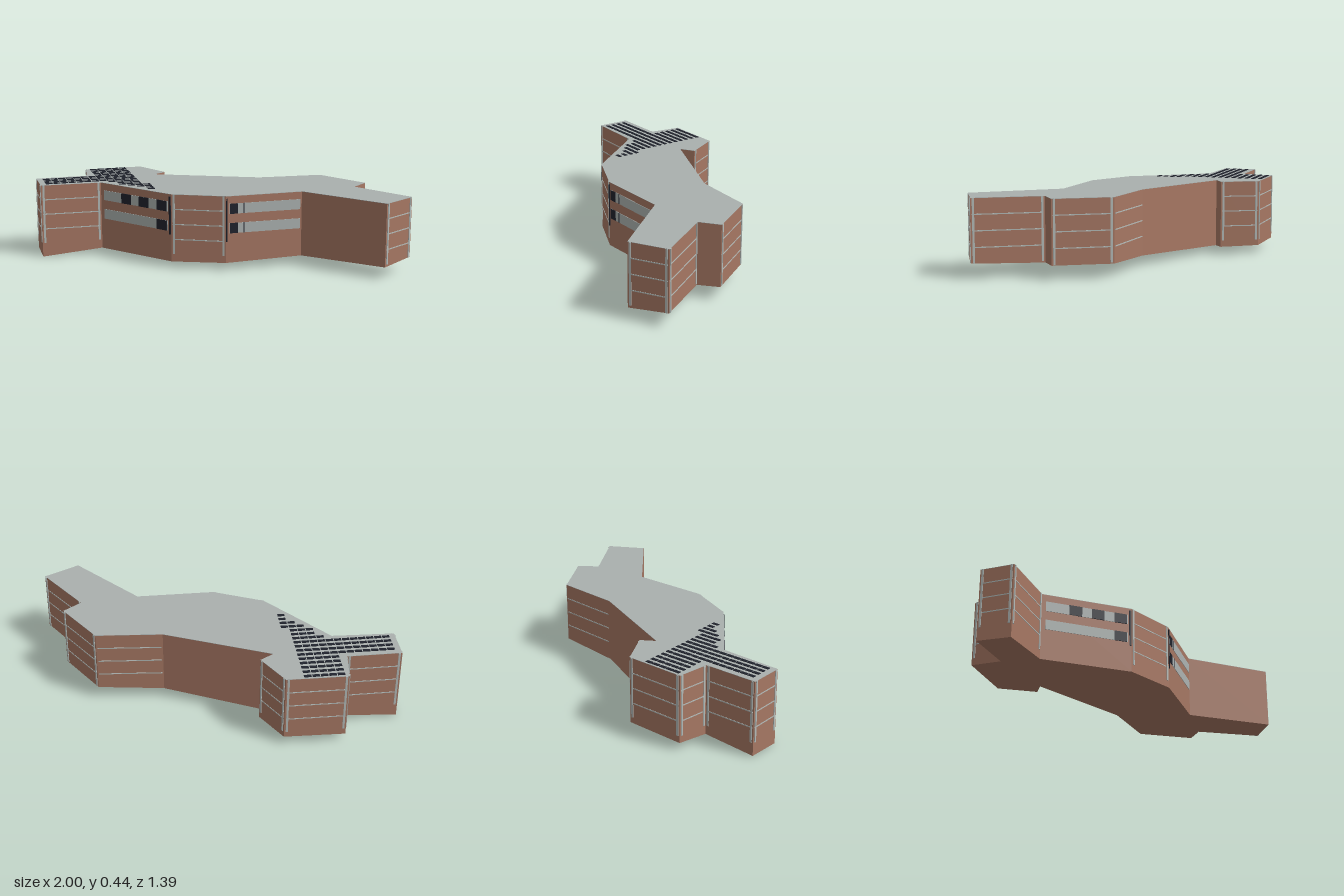
import * as THREE from 'three';

const TOP = 0.44;
// Footprint corners: x, z and the height of the wall foot on sloping ground
const P = [
  [-1, -0.505, 0.008], [-0.685, -0.505, 0.03], [-0.66, -0.695, 0.045], [-0.31, -0.69, 0.05],
  [-0.2, -0.485, 0.045], [-0.28, -0.435, 0.04], [0.32, -0.165, 0.06], [0.705, -0.135, 0.078],
  [0.885, 0.155, 0.08], [0.78, 0.235, 0.075], [0.995, 0.575, 0.085], [0.79, 0.69, 0.07],
  [0.44, 0.27, 0.053], [-0.02, 0.27, 0.043], [-0.31, 0.135, 0.038], [-0.64, -0.29, 0.033],
  [-1, -0.305, 0],
];

const material = (name, color) => {
  const m = new THREE.MeshStandardMaterial({ color });
  m.name = name;
  return m;
};

export function createModel() {
  const brick = material('brick', 0xa67763);
  const roofGrey = material('roof grey', 0xaab0ae);
  const trim = material('pale trim', 0xb4bbb8);
  const glass = material('pale glazing', 0xadb3b1);
  const dark = material('dark panel', 0x20232d);

  const model = new THREE.Group();
  model.name = 'building';
  const add = (geometry, mat, name, parent = model) => {
    const mesh = new THREE.Mesh(geometry, mat);
    mesh.name = name;
    parent.add(mesh);
    return mesh;
  };
  const group = (name) => {
    const g = new THREE.Group();
    g.name = name;
    model.add(g);
    return g;
  };

  // Footprint extruded upwards
  const footprint = new THREE.Shape(P.map(([x, z]) => new THREE.Vector2(x, -z)));
  const slab = (y0, y1) => new THREE.ExtrudeGeometry(footprint, { depth: y1 - y0, bevelEnabled: false })
    .rotateX(-Math.PI / 2).translate(0, y0, 0);

  // Brick body, with its foot following the ground
  const body = slab(0, TOP - 0.002);
  const pos = body.attributes.position;
  for (let i = 0; i < pos.count; i++) {
    if (pos.getY(i) > 0.1) continue;
    const corner = P.find(([x, z]) => Math.hypot(x - pos.getX(i), z - pos.getZ(i)) < 0.002);
    if (corner) pos.setY(i, corner[2]);
  }
  body.computeVertexNormals();
  add(body, brick, 'brickWalls');
  add(slab(TOP - 0.002, TOP), roofGrey, 'flatRoof');

  // Thin plate on wall i (corner i to i + 1); s0 and s1 are distances along it
  const wallLength = (i) => {
    const a = P[i], b = P[(i + 1) % P.length];
    return Math.hypot(b[0] - a[0], b[1] - a[1]);
  };
  const plate = (i, s0, s1, y0, y1, out, mat, name, parent) => {
    const a = P[i], b = P[(i + 1) % P.length], len = wallLength(i);
    const dx = (b[0] - a[0]) / len, dz = (b[1] - a[1]) / len;
    const s = (s0 + s1) / 2;
    const mesh = add(new THREE.BoxGeometry(s1 - s0, y1 - y0, out), mat, name, parent);
    mesh.position.set(a[0] + dx * s + dz * out / 2, (y0 + y1) / 2, a[1] + dz * s - dx * out / 2);
    mesh.rotation.y = Math.atan2(-dz, dx);
  };

  // Floor bands and upright corner strips
  const bands = group('wallTrim');
  for (const i of [0, 1, 2, 3, 6, 7, 9, 10, 13, 15, 16]) {
    const len = wallLength(i);
    for (const y of [0.172, 0.262, 0.351])
      plate(i, 0.008, len - 0.008, y - 0.003, y + 0.003, 0.002, trim, 'floorBand', bands);
    if (i === 6) continue;
    for (const s of [0.015, len - 0.015])
      plate(i, s - 0.006, s + 0.006, 0.085, TOP - 0.001, 0.004, trim, 'cornerStrip', bands);
  }

  // Window ribbons: spans are given by x and run along the wall
  const windows = group('windows');
  const spanX = (i, x0, x1, y0, y1, out, mat, name) => {
    const a = P[i], b = P[i + 1];
    const scale = wallLength(i) / (b[0] - a[0]);
    plate(i, (x1 - a[0]) * scale, (x0 - a[0]) * scale, y0, y1, out, mat, name, windows);
  };
  const floors = [[0.335, 0.395], [0.22, 0.28]];
  floors.forEach(([y0, y1], f) => {
    spanX(12, 0, 0.43, y0, y1, 0.003, glass, 'frontRibbon');
    spanX(12, 0.002, 0.05, y0, y1, 0.005, dark, 'frontPane');
    spanX(12, 0.083, 0.089, y0, y1, 0.005, dark, 'frontMullion');
    spanX(14, -0.625, -0.325, y0, y1, 0.003, glass, 'sideRibbon');
    for (const x of f ? [-0.375] : [-0.54, -0.458, -0.375])
      spanX(14, x, x + 0.046, y0, y1, 0.005, dark, 'sidePane');
  });
  spanX(12, -0.019, -0.012, 0.17, 0.425, 0.005, dark, 'frontDownpipe');
  spanX(14, -0.319, -0.312, 0.2, 0.425, 0.005, dark, 'sideDownpipe');

  // Rows of roof panels: first and last column in each row, from back to front
  const panels = group('solarPanels');
  const rows = [
    [7, 11], [7, 11], [7, 11], [7, 11], [7, 11], [0, 11], [0, 11], [0, 11], [0, 11],
    [8, 11], [9, 11], [9, 11], [10, 12], [11, 12], [12, 12], [12, 12],
  ];
  const panel = new THREE.BoxGeometry(0.041, 0.003, 0.02);
  rows.forEach(([first, last], r) => {
    for (let k = first; k <= last; k++)
      add(panel, dark, 'solarPanel', panels).position.set(-0.945 + k * 0.0466, TOP + 0.0015, -0.67 + r * 0.042);
  });

  return model;
}
